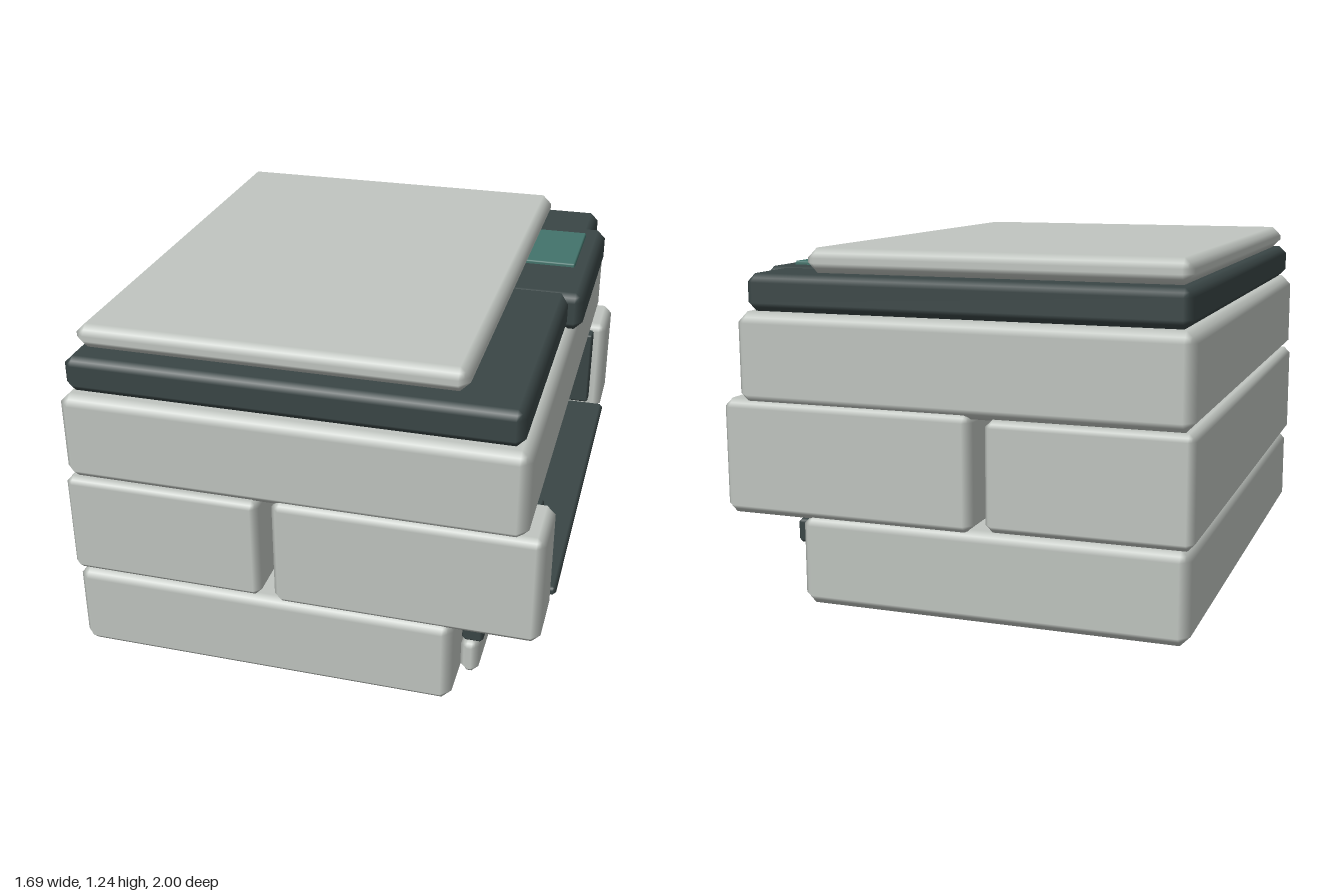
import * as THREE from 'three';
import { RoundedBoxGeometry } from 'three/addons/geometries/RoundedBoxGeometry.js';

// Chamfered box with softly blended edges
function chamferBox(w, h, d, c) {
  const geo = new RoundedBoxGeometry(w, h, d, 1, c);
  const p = geo.attributes.position, n = geo.attributes.normal;
  for (let i = 0; i < p.count; i++) {
    const nx = n.getX(i), ny = n.getY(i), nz = n.getZ(i);
    const k = c / (Math.abs(nx) + Math.abs(ny) + Math.abs(nz));
    // core point + octahedral offset turns the round edge into a flat chamfer
    p.setXYZ(i,
      p.getX(i) - nx * c + nx * k,
      p.getY(i) - ny * c + ny * k,
      p.getZ(i) - nz * c + nz * k);
  }
  return geo;
}

export function createModel() {
  const group = new THREE.Group();
  group.name = 'officePrinter';

  const make = (name, color) => {
    const m = new THREE.MeshStandardMaterial({ color });
    m.name = name;
    return m;
  };
  const casing = make('paleGreyCasing', 0xc0c5c0);
  const dark = make('darkSlate', 0x3a4646);
  const glass = make('tealScreen', 0x43736b);

  // Box given by its limits along each axis
  const block = (name, material, [x0, x1], [y0, y1], [z0, z1], c) => {
    const mesh = new THREE.Mesh(chamferBox(x1 - x0, y1 - y0, z1 - z0, c), material);
    mesh.position.set((x0 + x1) / 2, (y0 + y1) / 2, (z0 + z1) / 2);
    mesh.name = name;
    group.add(mesh);
  };

  // Main casing
  block('base', casing, [-0.84, 0.535], [0, 0.32], [-1, 1], 0.035);
  block('rearBody', casing, [-0.85, -0.145], [0.32, 0.7], [-1, 1], 0.025);
  block('upperBody', casing, [-0.845, 0.77], [0.695, 1.02], [-1, 1], 0.038);

  // Side arms and dark liners around the paper outlet
  for (const s of [1, -1]) {
    const side = s > 0 ? 'left' : 'right';
    const span = (a, b) => (s > 0 ? [a, b] : [-b, -a]);
    block(side + 'Arm', casing, [-0.1, 0.83], [0.305, 0.715], span(0.74, 1), 0.03);
    block(side + 'OutletLiner', dark, [-0.09, 0.78], [0.37, 0.69], span(0.685, 0.76), 0.008);
  }

  // Output tray
  block('outputTray', dark, [-0.16, 0.845], [0.322, 0.356], [-0.725, 0.725], 0.012);

  // Paper drawer front and its handle
  block('drawerFront', casing, [0.54, 0.605], [0.035, 0.172], [-0.865, 0.865], 0.025);
  block('drawerHandle', dark, [0.545, 0.62], [0.178, 0.265], [-0.865, 0.865], 0.012);

  // Scanner deck, control panel and lid
  block('scannerDeck', dark, [-0.825, 0.74], [1.02, 1.15], [-0.97, 0.97], 0.03);
  block('controlPanel', dark, [0.5, 0.795], [1.01, 1.155], [-0.75, 0.01], 0.032);
  block('scannerLid', casing, [-0.81, 0.545], [1.15, 1.237], [-0.9, 0.9], 0.035);
  block('screen', glass, [0.5, 0.725], [1.145, 1.168], [-0.64, -0.275], 0.006);

  return group;
}
